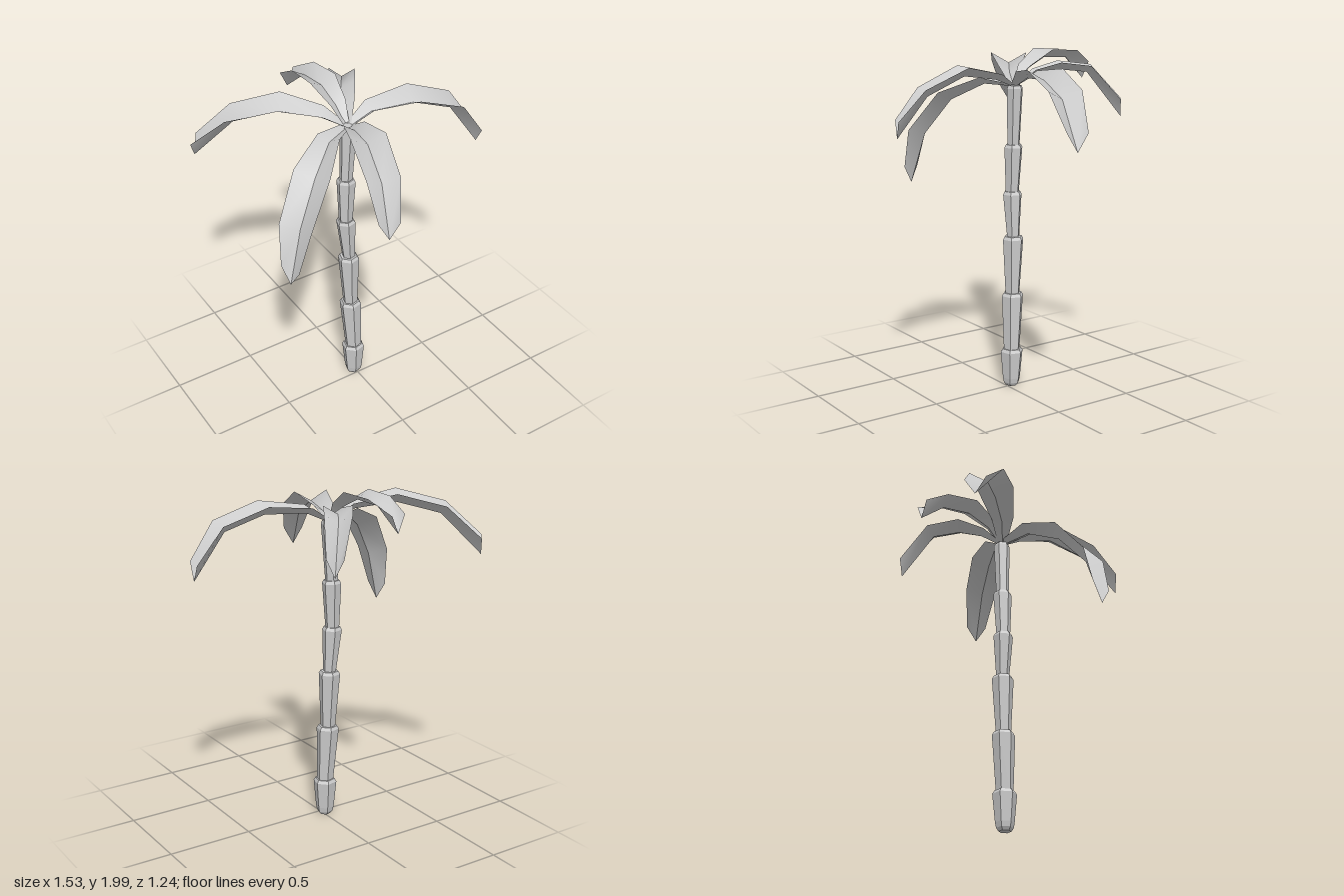
import * as THREE from 'three';

const SIDES = 6;
const TURN = -Math.PI / 12;

// Trunk joints from the ground up: x, y, z of the centre and rim radius
const JOINTS = [
  [-0.01, 0, -0.035, 0.05],
  [-0.01, 0.23, -0.037, 0.069],
  [-0.021, 0.57, -0.05, 0.066],
  [-0.026, 0.91, -0.058, 0.063],
  [-0.041, 1.175, -0.062, 0.057],
  [-0.034, 1.45, -0.065, 0.055],
  [-0.018, 1.79, -0.063, 0.048],
];
const NECKS = [0.055, 0.049, 0.043, 0.037, 0.04, 0.037];

// Frond spines at rim height, from near the crown out to the tip
const FRONDS = [
  { name: 'leftFrond', size: 1, spine: [[0.11, 1.88, -0.05], [0.36, 1.91, 0.01], [0.61, 1.82, 0.065], [0.75, 1.615, 0.09]] },
  { name: 'backLeftFrond', size: 0.75, spine: [[0.03, 1.88, -0.165], [0.085, 1.92, -0.3], [0.185, 1.9, -0.45], [0.295, 1.71, -0.585]] },
  { name: 'backFrond', size: 0.8, spine: [[-0.035, 1.9, -0.14], [-0.045, 1.985, -0.28], [-0.057, 1.975, -0.47], [-0.085, 1.9, -0.605]] },
  { name: 'backRightFrond', size: 1, spine: [[-0.14, 1.89, -0.113], [-0.34, 1.95, -0.247], [-0.57, 1.88, -0.4], [-0.725, 1.7, -0.53]] },
  { name: 'frontRightFrond', size: 1, spine: [[-0.2, 1.83, 0.03], [-0.39, 1.74, 0.17], [-0.557, 1.51, 0.267], [-0.605, 1.28, 0.285]] },
  { name: 'frontFrond', size: 0.92, spine: [[-0.045, 1.86, 0.035], [-0.09, 1.905, 0.24], [-0.15, 1.79, 0.475], [-0.2, 1.615, 0.607]] },
];
const HALF_WIDTHS = [0.028, 0.065, 0.106, 0.098, 0.062];
const KEEL_DEPTHS = [0.015, 0.04, 0.06, 0.06, 0.1];

// One flared trunk section, sheared so it leans from joint to joint
function trunkSection(i) {
  const [x0, y0, z0] = JOINTS[i];
  const [x1, y1, z1, rim] = JOINTS[i + 1];
  const h = y1 - y0;
  const foot = i === 0
    ? [[0, 0], [0.035, 0.002], [0.048, 0.02], [0.054, 0.05]]
    : [[NECKS[i], -0.01]];
  const profile = [...foot, [rim, h - 0.018], [rim * 0.84, h], [0, h]];
  const geo = new THREE.LatheGeometry(profile.map(p => new THREE.Vector2(...p)), SIDES, TURN);
  const pos = geo.attributes.position;
  for (let k = 0; k < pos.count; k++) {
    const t = pos.getY(k) / h;
    pos.setXYZ(k,
      pos.getX(k) + x0 + (x1 - x0) * t,
      pos.getY(k) + y0,
      pos.getZ(k) + z0 + (z1 - z0) * t);
  }
  return geo;
}

// A drooping frond with a V section; the halves keep separate keel vertices for a sharp crease
function frondGeometry({ spine, size }) {
  const crown = new THREE.Vector3(-0.022, 1.8, -0.062);
  const pts = spine.map(p => new THREE.Vector3(...p));
  const out = pts[0].clone().sub(crown).setY(0).normalize();
  pts.unshift(crown.addScaledVector(out, 0.015));
  const last = pts.length - 1;
  const up = new THREE.Vector3(0, 1, 0);
  const positions = [];
  const index = [];
  pts.forEach((p, i) => {
    const tangent = pts[Math.min(i + 1, last)].clone().sub(pts[Math.max(i - 1, 0)]).normalize();
    const side = tangent.clone().cross(up).normalize();
    const normal = i === last ? up : side.clone().cross(tangent);
    const w = HALF_WIDTHS[i] * size;
    const keel = p.clone().addScaledVector(normal, -KEEL_DEPTHS[i] * (i === last ? 1 : size));
    const left = p.clone().addScaledVector(side, -w);
    const right = p.clone().addScaledVector(side, w);
    for (const v of [left, keel, keel, right]) positions.push(v.x, v.y, v.z);
    if (i === 0) return;
    for (const c of [0, 2]) {
      const a = (i - 1) * 4 + c, b = i * 4 + c;
      index.push(a, a + 1, b + 1, a, b + 1, b);
    }
  });
  const geo = new THREE.BufferGeometry();
  geo.setAttribute('position', new THREE.Float32BufferAttribute(positions, 3));
  geo.setIndex(index);
  geo.computeVertexNormals();
  return geo;
}

export function createModel() {
  const model = new THREE.Group();
  model.name = 'palmTree';
  const bark = new THREE.MeshStandardMaterial({ color: 0xcccccc, flatShading: true });
  const leaf = new THREE.MeshStandardMaterial({ color: 0xcccccc, side: THREE.DoubleSide });

  // Stacked trunk sections
  const trunk = new THREE.Group();
  trunk.name = 'trunk';
  for (let i = 0; i < NECKS.length; i++) {
    const section = new THREE.Mesh(trunkSection(i), bark);
    section.name = `trunkSection${i + 1}`;
    trunk.add(section);
  }

  // Crown of fronds
  const crown = new THREE.Group();
  crown.name = 'crown';
  for (const f of FRONDS) {
    const frond = new THREE.Mesh(frondGeometry(f), leaf);
    frond.name = f.name;
    crown.add(frond);
  }

  model.add(trunk, crown);
  return model;
}
